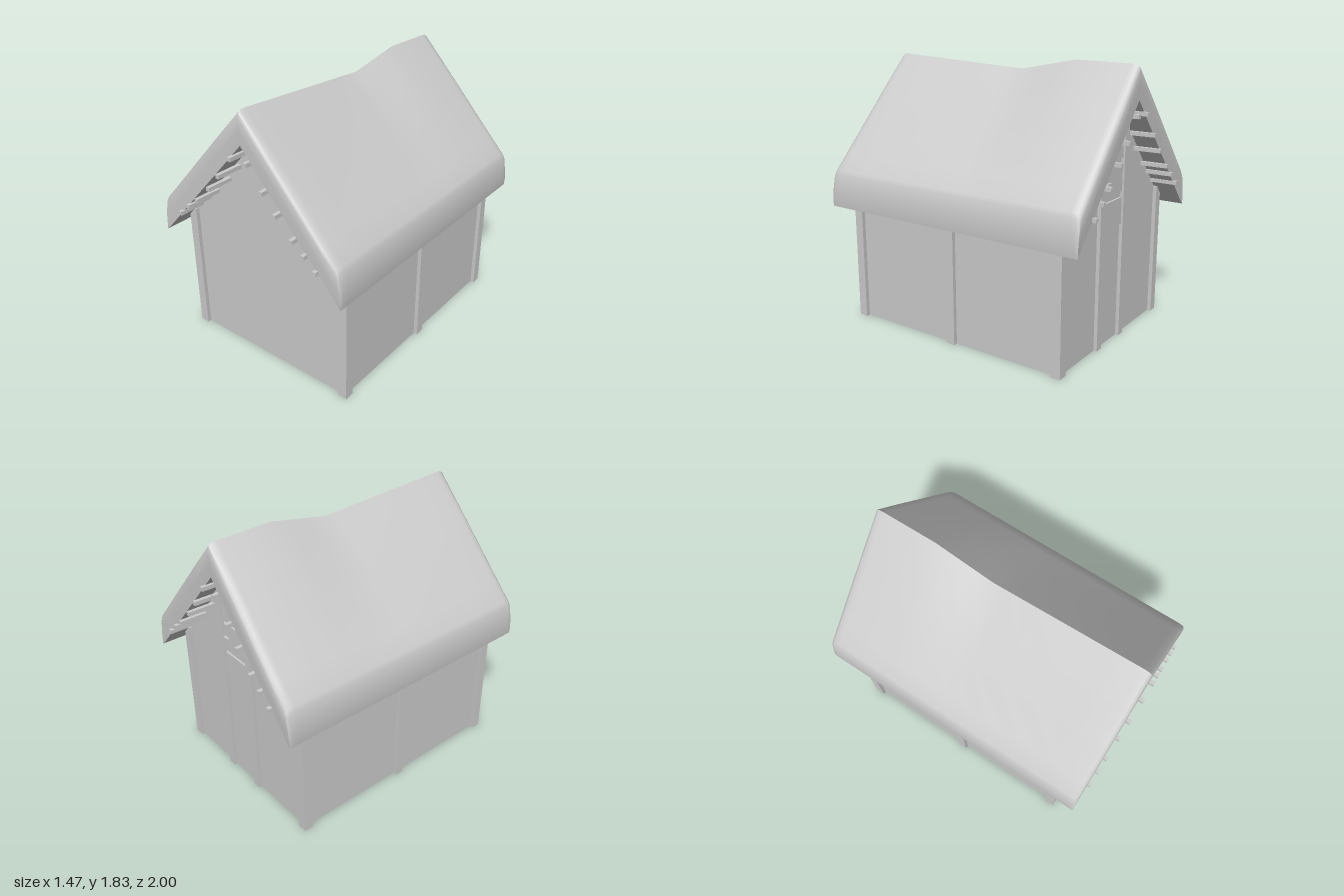
import * as THREE from 'three';
import { toCreasedNormals } from 'three/addons/utils/BufferGeometryUtils.js';

const material = new THREE.MeshStandardMaterial({ color: 0xcccccc, side: THREE.DoubleSide });

function add(group, name, geometry, x = 0, y = 0, z = 0) {
  const mesh = new THREE.Mesh(geometry, material);
  mesh.name = name;
  mesh.position.set(x, y, z);
  group.add(mesh);
  return mesh;
}

// box standing on height y0 and reaching y1
function upright(group, name, w, d, x, y0, y1, z) {
  return add(group, name, new THREE.BoxGeometry(w, y1 - y0, d), x, (y0 + y1) / 2, z);
}

// ridge height along the length, sagging behind the middle
function ridgeHeight(z) {
  const p = [[-1, 1.815], [-0.94, 1.815], [-0.52, 1.825], [-0.11, 1.75], [0.93, 1.815], [1, 1.815]];
  for (let i = 1; i < p.length; i++) {
    if (z <= p[i][0]) {
      const t = (z - p[i - 1][0]) / (p[i][0] - p[i - 1][0]);
      return THREE.MathUtils.lerp(p[i - 1][1], p[i][1], t);
    }
  }
  return 1.815;
}

// thick thatch: closed loop of cross-sections, with rounded gable ends
function thatchGeometry() {
  // inner x, inner y, outer x, outer y, from ridge to eave
  const half = [
    [0, 1.6, 0, 1.82], [0.2, 1.38, 0.2, 1.605], [0.4, 1.162, 0.4, 1.385], [0.6, 0.942, 0.6, 1.165],
    [0.665, 0.871, 0.7, 1.055], [0.685, 0.849, 0.716, 1.025], [0.7, 0.833, 0.73, 0.94],
    [0.715, 0.817, 0.736, 0.86], [0.73, 0.8, 0.73, 0.8],
  ];
  const columns = [
    ...half.slice(1).reverse().map(([a, b, c, d]) => [-a, b, -c, d]),
    ...half,
  ];
  // z and share of the thickness
  const end = [[0.962, 0], [0.966, 0.45], [0.966, 0.8], [0.958, 0.92], [0.94, 0.98], [0.9, 1]];
  const middle = [0.7, 0.45, 0.2, 0, -0.11, -0.25, -0.4, -0.52, -0.7].map((z) => [z, 1]);
  const rows = [...end, ...middle, ...end.map(([z, k]) => [-z, k]).reverse()];
  const positions = [];
  for (const [z, k] of rows) {
    for (const [ix, iy, ox, oy] of columns) {
      const fade = 1 - Math.abs(ox) / 0.74;
      const top = oy + (ridgeHeight(z) - 1.82) * Math.max(fade, 0);
      const flare = 1 + 0.014 * Math.abs(ox) / 0.73;
      positions.push(ix + (ox - ix) * k, iy + (top - iy) * k, z * flare);
    }
  }
  const index = [];
  const n = columns.length;
  for (let j = 0; j < rows.length; j++) {
    const next = (j + 1) % rows.length;
    for (let i = 0; i < n - 1; i++) {
      const a = j * n + i, b = a + 1, d = next * n + i, c = d + 1;
      index.push(a, b, c, a, c, d);
    }
  }
  const geometry = new THREE.BufferGeometry();
  geometry.setAttribute('position', new THREE.Float32BufferAttribute(positions, 3));
  geometry.setIndex(index);
  return toCreasedNormals(geometry, 0.8);
}

export function createModel() {
  const house = new THREE.Group();
  house.name = 'thatchedHut';

  add(house, 'thatchedRoof', thatchGeometry());

  // gable walls, open underneath
  const gable = new THREE.Shape([
    [-0.63, 0], [0.63, 0], [0.63, 0.908], [0, 1.598], [-0.63, 0.908],
  ].map(([x, y]) => new THREE.Vector2(x, y)));
  const gableGeometry = new THREE.ExtrudeGeometry(gable, { depth: 0.012, bevelEnabled: false });
  gableGeometry.translate(0, 0, -0.006);
  add(house, 'frontWall', gableGeometry, 0, 0, 0.806);
  add(house, 'backWall', gableGeometry, 0, 0, -0.806);

  // side walls with corner and middle posts
  for (const side of [-1, 1]) {
    upright(house, 'sideWall', 0.012, 1.61, side * 0.63, 0, 0.91, 0);
    for (const z of [-0.806, 0, 0.806]) {
      upright(house, z ? 'cornerPost' : 'middlePost', 0.064, 0.064, side * 0.631, 0, 0.93, z);
    }
    // short king post under the ridge
    upright(house, 'kingPost', 0.034, 0.05, 0, 1.455, 1.61, side * 0.8);
  }

  // door frame and boards on the back
  upright(house, 'doorPost', 0.055, 0.06, 0.18, 0, 1.42, -0.806);
  upright(house, 'doorPost', 0.055, 0.06, -0.12, 0, 1.48, -0.806);
  for (const y of [0.78, 1.0, 1.22]) {
    upright(house, 'doorBoard', 0.235, 0.02, 0.03, y, y + 0.18, -0.816);
  }
  add(house, 'doorHandle', new THREE.BoxGeometry(0.05, 0.015, 0.02), 0.11, 1.08, -0.832);

  // purlins running the full length below the thatch
  const purlins = [[0.558, 0.985], [0.475, 1.06], [0.39, 1.13], [0.27, 1.25], [0.175, 1.365], [0.063, 1.51]];
  for (const side of [-1, 1]) {
    for (const [x, y] of purlins) {
      add(house, 'purlin', new THREE.BoxGeometry(0.026, 0.026, 2), side * x, y, 0);
    }
  }
  return house;
}
